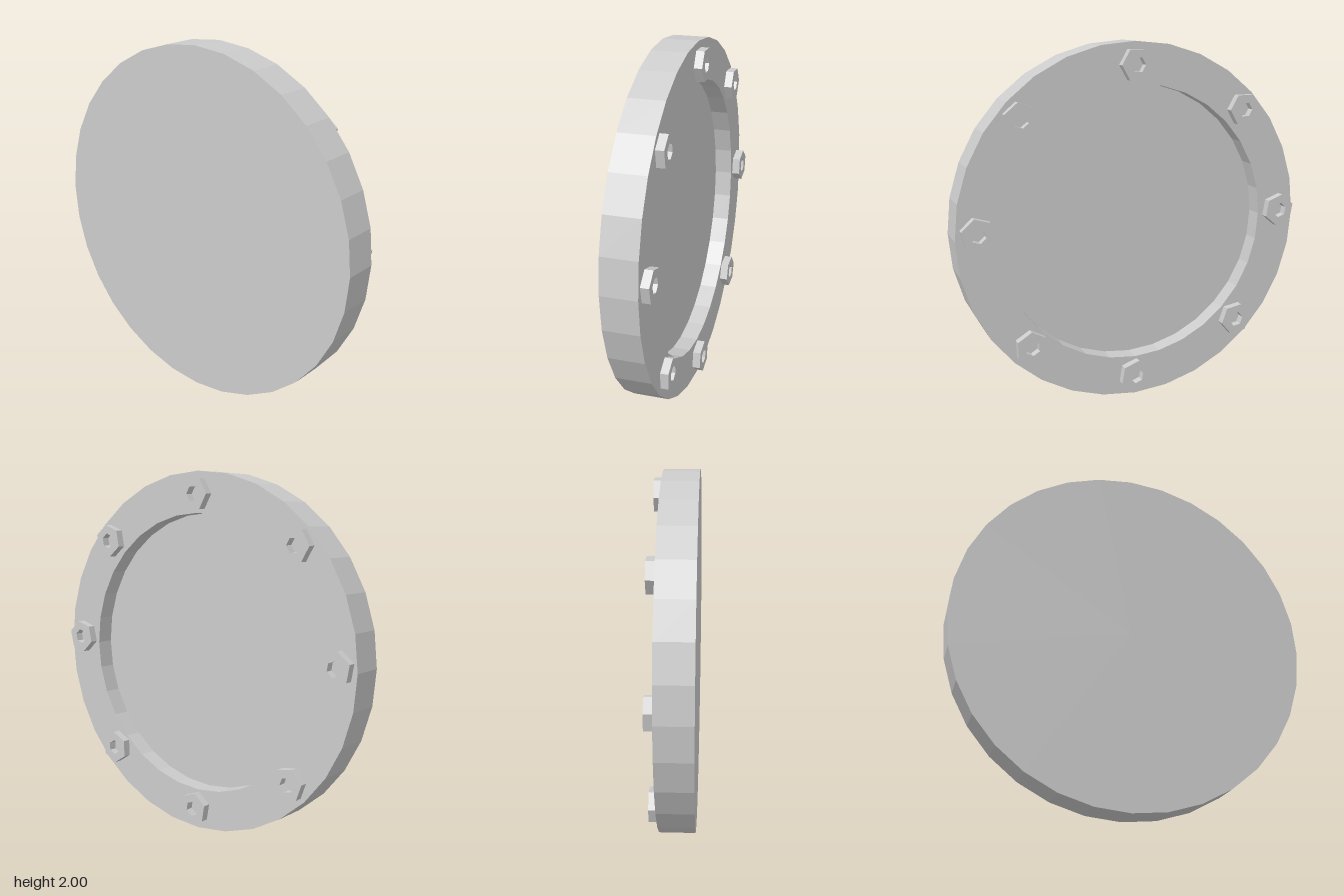
import * as THREE from 'three';

const material = new THREE.MeshStandardMaterial({ color: 0xcccccc, flatShading: true });

const hexPoints = (radius) => Array.from({ length: 6 }, (_, i) =>
  new THREE.Vector2(Math.cos(i * Math.PI / 3), Math.sin(i * Math.PI / 3)).multiplyScalar(radius));

// Round plate with a shallow recess in its +x face
function createPlate() {
  const profile = [
    [0, -0.12], [1, -0.12], [1, 0.075], [0.776, 0.075], [0.776, -0.025], [0, -0.025],
  ].map(([r, h]) => new THREE.Vector2(r, h));
  const plate = new THREE.Mesh(new THREE.LatheGeometry(profile, 32), material);
  plate.name = 'recessedPlate';
  plate.rotation.z = -Math.PI / 2;
  plate.position.y = 1;
  return plate;
}

// Hexagonal bolt head with a hexagonal socket, extruded along +x
function createBoltGeometry() {
  const shape = new THREE.Shape(hexPoints(0.093));
  shape.holes.push(new THREE.Path(hexPoints(0.043)));
  return new THREE.ExtrudeGeometry(shape, { depth: 0.045, bevelEnabled: false });
}

export function createModel() {
  const model = new THREE.Group();
  model.name = 'boltedCover';
  model.add(createPlate());

  // Bolts around the rim: z, y, turn in degrees
  const bolts = [
    [0, 1.877, 0], [-0.648, 1.615, 0], [-0.893, 1.018, 20], [-0.626, 0.38, 10],
    [0.008, 0.12, 20], [0.615, 0.378, 32], [0.885, 1.032, 43], [0.643, 1.615, 40],
  ];
  const boltGeometry = createBoltGeometry();
  bolts.forEach(([z, y, turn], i) => {
    const bolt = new THREE.Mesh(boltGeometry, material);
    bolt.name = `boltHead${i + 1}`;
    bolt.rotation.set(0, Math.PI / 2, THREE.MathUtils.degToRad(turn));
    bolt.position.set(0.075, y, z);
    model.add(bolt);
  });
  return model;
}
